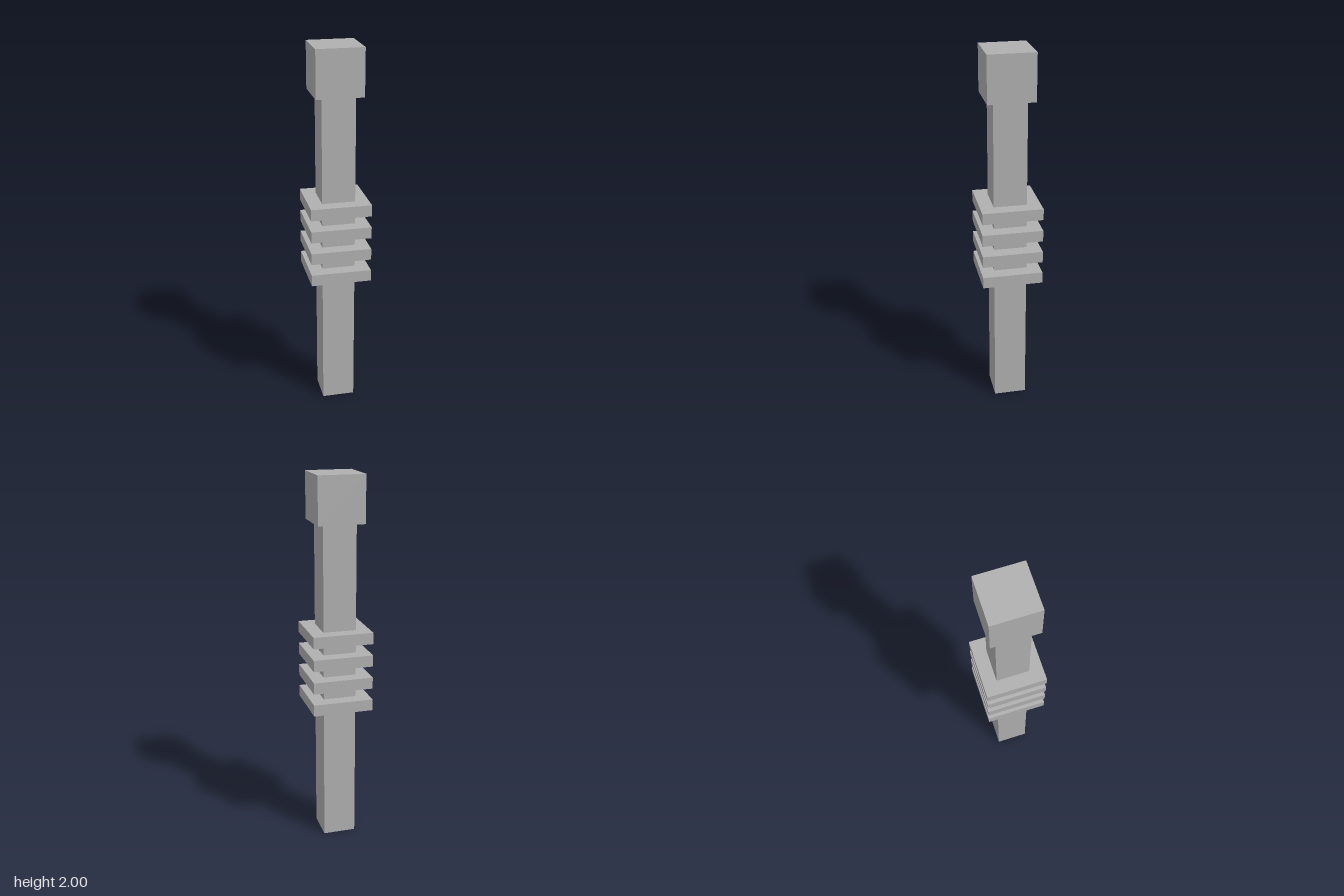
import * as THREE from 'three';

export function createModel() {
  const model = new THREE.Group();
  const grey = new THREE.MeshStandardMaterial({ color: 0xb0b0b0 });
  grey.name = 'grey';

  // Square block of a given width, spanning two heights
  function block(name, width, bottom, top) {
    const mesh = new THREE.Mesh(new THREE.BoxGeometry(width, top - bottom, width), grey);
    mesh.name = name;
    mesh.position.y = (bottom + top) / 2;
    model.add(mesh);
  }

  block('shaft', 0.177, 0, 1.752);
  block('cap', 0.249, 1.752, 2);

  // Four evenly spaced square collars around the middle
  for (let i = 0; i < 4; i++) {
    const bottom = 0.755 + i * 0.1243;
    block(`collar${i + 1}`, 0.323, bottom, bottom + 0.062);
  }

  return model;
}
